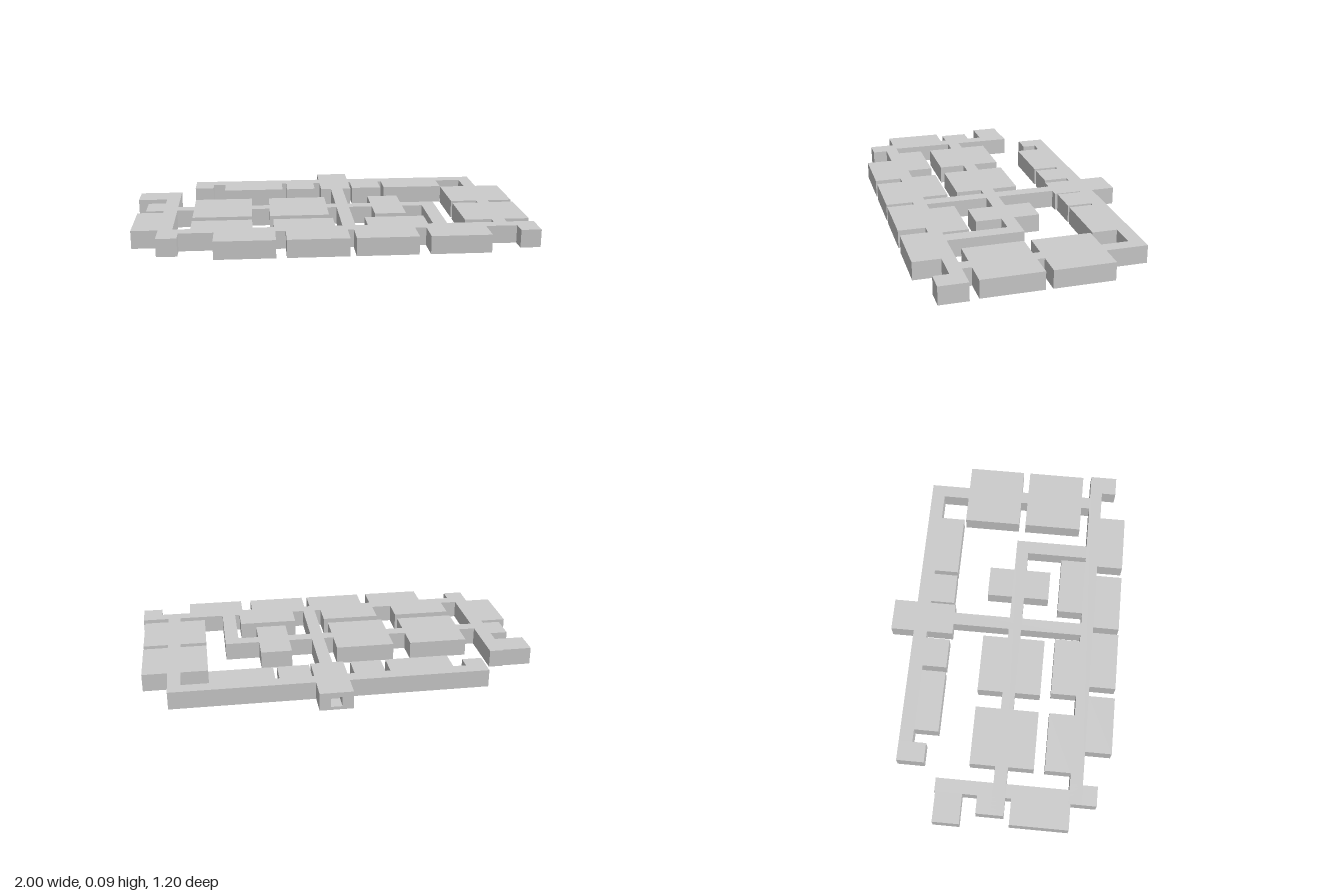
import * as THREE from 'three';

const HEIGHT = 0.09;

export function createModel() {
  const model = new THREE.Group();
  model.name = 'floorPlan';
  const material = new THREE.MeshStandardMaterial({ color: 0xcccccc, flatShading: true });

  // One full-height block covering a rectangle of the plan
  function block(parent, name, x0, x1, z0, z1) {
    const mesh = new THREE.Mesh(new THREE.BoxGeometry(x1 - x0, HEIGHT, z1 - z0), material);
    mesh.position.set((x0 + x1) / 2, HEIGHT / 2, (z0 + z1) / 2);
    mesh.name = name;
    parent.add(mesh);
  }

  // A row of blocks sharing the same depth range
  function row(name, z0, z1, spans) {
    const group = new THREE.Group();
    group.name = name;
    spans.forEach(([x0, x1], i) => block(group, `room${i + 1}`, x0, x1, z0, z1));
    model.add(group);
  }

  // Corridors
  const corridors = new THREE.Group();
  corridors.name = 'corridors';
  model.add(corridors);
  block(corridors, 'backCorridor', -0.71, 0.865, -0.48, -0.41);
  block(corridors, 'frontCorridor', -0.85, 1.0, 0.4, 0.465);
  block(corridors, 'middleCorridor', -0.94, 0.565, 0.02, 0.085);
  block(corridors, 'centralCorridor', 0.045, 0.11, -0.28, 0.4);
  block(corridors, 'leftCorridor', 0.8, 0.865, -0.48, 0.4);
  block(corridors, 'innerLeftCorridor', 0.495, 0.565, 0.02, 0.4);
  block(corridors, 'rightCorridor', -0.85, -0.78, -0.27, 0.54);

  // Short dead ends and alcoves
  block(model, 'backRightStub', -0.71, -0.61, -0.48, -0.34);
  block(model, 'frontRightStub', -0.85, -0.75, 0.4, 0.54);
  block(model, 'frontLeftStub', 0.9, 1.0, 0.4, 0.54);
  block(model, 'rightAlcove', -0.94, -0.85, -0.055, 0.085);

  // Rooms
  row('backRooms', -0.41, -0.285, [[-0.545, -0.225], [-0.2, -0.045], [0.165, 0.325], [0.345, 0.665]]);
  row('middleRooms', -0.11, 0.215, [[-0.695, -0.395], [-0.305, -0.005], [0.23, 0.39]]);
  row('innerFrontRooms', 0.27, 0.4, [[-0.695, -0.395], [-0.29, 0.01], [0.17, 0.47]]);
  row('outerFrontRooms', 0.465, 0.6, [[-0.58, -0.285], [-0.235, 0.065], [0.095, 0.395], [0.45, 0.745]]);
  block(model, 'backLeftRoom', 0.665, 0.99, -0.275, 0.02);
  block(model, 'frontLeftRoom', 0.665, 0.99, 0.055, 0.355);
  block(model, 'backRightRoom', -1.0, -0.85, -0.265, -0.13);
  block(model, 'frontRightRoom', -0.98, -0.85, 0.115, 0.41);

  // Entrance hall, with a doorway recessed in its back wall
  const entrance = new THREE.Group();
  entrance.name = 'entrance';
  model.add(entrance);
  block(entrance, 'entranceHall', -0.01, 0.155, -0.52, -0.275);

  const wall = new THREE.Shape();
  wall.moveTo(-0.01, 0).lineTo(0.155, 0).lineTo(0.155, HEIGHT).lineTo(-0.01, HEIGHT).closePath();
  const door = new THREE.Path();
  door.moveTo(0.045, 0.016).lineTo(0.045, 0.065).lineTo(0.1, 0.065).lineTo(0.1, 0.016).closePath();
  wall.holes.push(door);
  const doorway = new THREE.Mesh(new THREE.ExtrudeGeometry(wall, { depth: 0.08, bevelEnabled: false }), material);
  doorway.position.z = -0.6;
  doorway.name = 'doorwayWall';
  entrance.add(doorway);

  return model;
}
